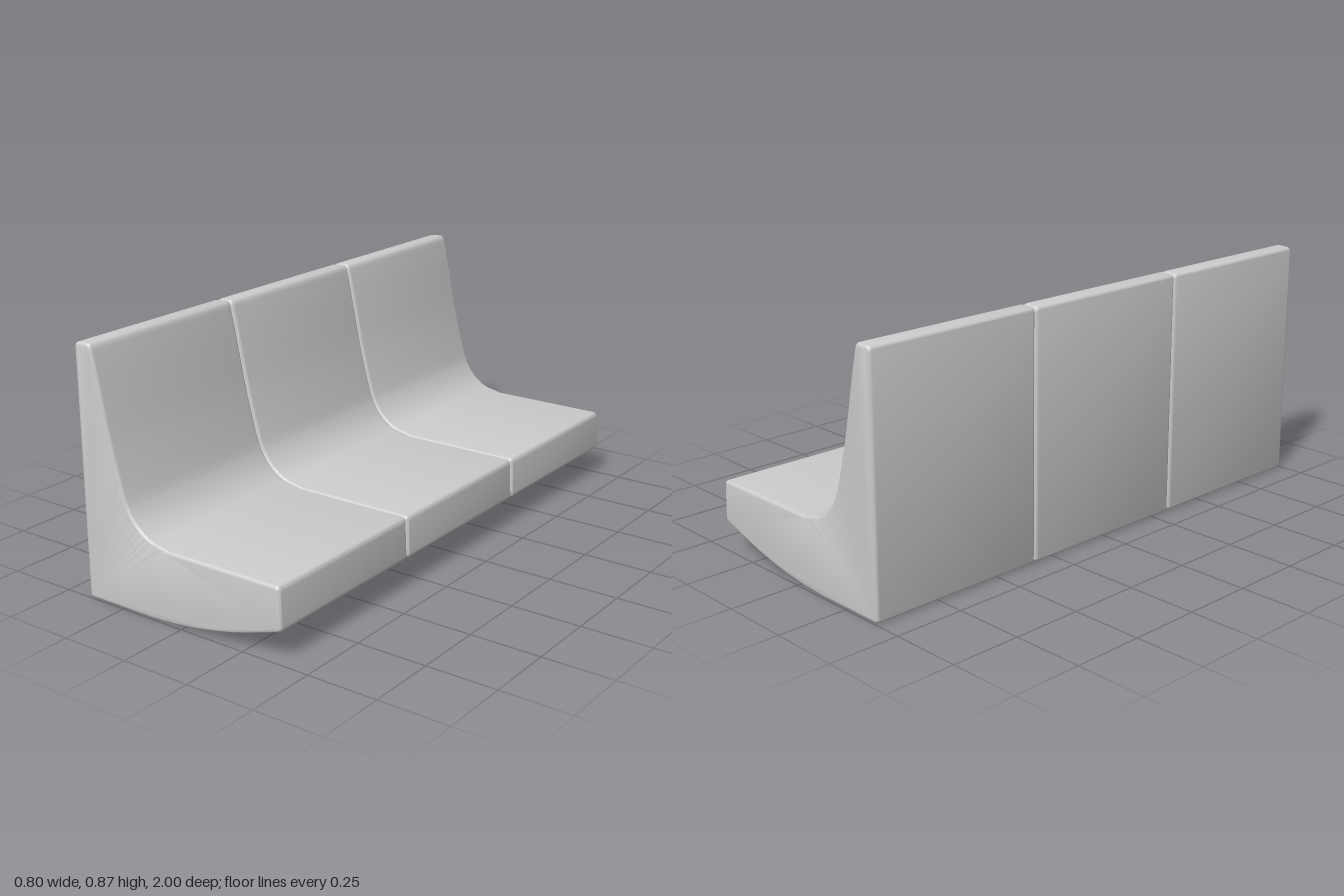
import * as THREE from 'three';
import { toCreasedNormals } from 'three/addons/utils/BufferGeometryUtils.js';

const SEATS = 3;
const PITCH = 2 / SEATS;
const GAP = 0.003;
const BEVEL = 0.012;

// Side profile of a seat: flat back, curved backrest, flat cushion, bowed underside
function seatProfile() {
  const v = (x, y) => new THREE.Vector2(x, y);
  const s = new THREE.Shape();
  s.moveTo(-0.385, 0.002);
  s.lineTo(-0.13, 0.002);
  s.splineThru([v(0, 0.011), v(0.12, 0.029), v(0.24, 0.057), v(0.385, 0.102)]);
  s.quadraticCurveTo(0.402, 0.107, 0.401, 0.122);
  s.lineTo(0.396, 0.236);
  s.quadraticCurveTo(0.395, 0.254, 0.378, 0.254);
  s.lineTo(-0.045, 0.254);
  s.splineThru([
    v(-0.115, 0.269), v(-0.155, 0.291), v(-0.185, 0.32), v(-0.21, 0.358), v(-0.226, 0.4),
    v(-0.25, 0.484), v(-0.274, 0.58), v(-0.3, 0.705), v(-0.318, 0.79), v(-0.332, 0.85),
  ]);
  s.quadraticCurveTo(-0.337, 0.872, -0.352, 0.872);
  s.lineTo(-0.386, 0.87);
  s.quadraticCurveTo(-0.403, 0.869, -0.403, 0.852);
  s.lineTo(-0.403, 0.02);
  s.quadraticCurveTo(-0.403, 0.002, -0.385, 0.002);
  s.closePath();
  return s;
}

export function createModel() {
  const group = new THREE.Group();
  group.name = 'bench';
  const material = new THREE.MeshStandardMaterial({ color: 0xcccccc });

  // One seat block with softened side edges
  const depth = PITCH - GAP - 2 * BEVEL;
  const extruded = new THREE.ExtrudeGeometry(seatProfile(), {
    depth,
    curveSegments: 5,
    bevelEnabled: true,
    bevelSize: BEVEL,
    bevelThickness: BEVEL,
    bevelOffset: -BEVEL,
    bevelSegments: 4,
  });
  extruded.translate(0, 0, -depth / 2);
  extruded.computeBoundingBox();
  extruded.translate(0, -extruded.boundingBox.min.y, 0);
  const geometry = toCreasedNormals(extruded, 0.6);

  // Row of identical seats along z
  for (let i = 0; i < SEATS; i++) {
    const seat = new THREE.Mesh(geometry, material);
    seat.name = `seat${i + 1}`;
    seat.position.z = (i - (SEATS - 1) / 2) * PITCH;
    group.add(seat);
  }
  return group;
}
